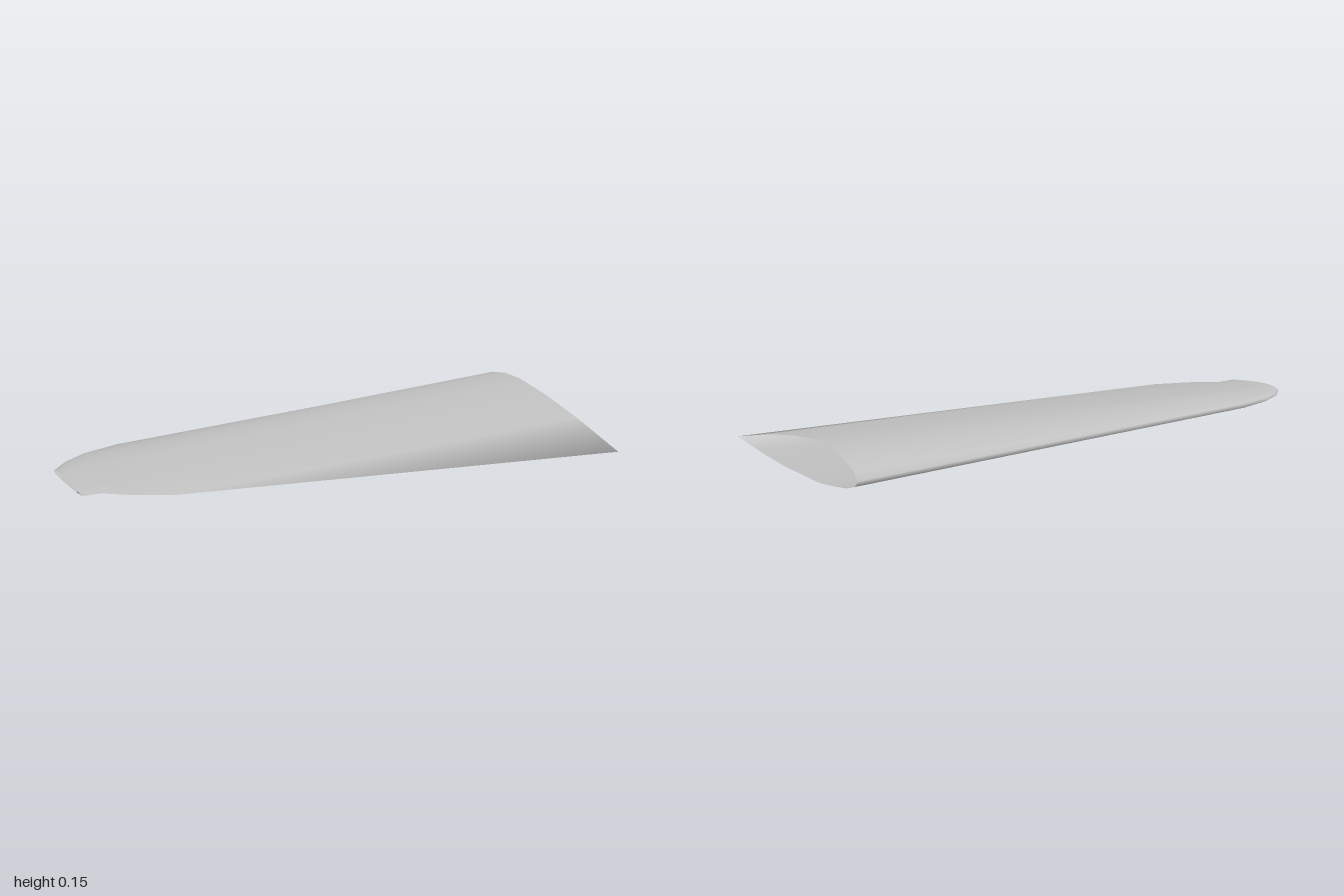
import * as THREE from 'three';

// Airfoil section as [chord fraction from the sharp edge, height fraction]
const SECTION = [
  [0, 0.18], [0.285, 0.6], [0.5, 0.85], [0.6, 0.93], [0.7, 1], [0.81, 0.98],
  [0.905, 0.85], [0.975, 0.65], [1, 0.47], [0.98, 0.32], [0.915, 0.19],
  [0.82, 0.1], [0.71, 0.01], [0.41, 0], [0.2, 0.07],
];

// Stations from root to tip: x, sharp-edge z, round-edge z, bottom y, top y
const STATIONS = [
  [1, 0.466, -0.47, 0, 0.148],
  [-0.7, 0.185, -0.376, 0.062, 0.108],
  [-0.84, 0.12, -0.34, 0.067, 0.104],
  [-0.93, 0.056, -0.29, 0.07, 0.099],
  [-1, 0.056, -0.22, 0.073, 0.097],
];

// Smooth skin lofted through the stations, open at both ends
function loft() {
  const positions = [], indices = [], n = SECTION.length;
  for (const [x, z0, z1, y0, y1] of STATIONS) {
    for (const [c, h] of SECTION) {
      positions.push(x, y0 + (y1 - y0) * h, z0 + (z1 - z0) * c);
    }
  }
  for (let i = 0; i < STATIONS.length - 1; i++) {
    for (let j = 0; j < n; j++) {
      const a = i * n + j, b = i * n + (j + 1) % n;
      indices.push(a, b, a + n, b, b + n, a + n);
    }
  }
  const geometry = new THREE.BufferGeometry();
  geometry.setAttribute('position', new THREE.Float32BufferAttribute(positions, 3));
  geometry.setIndex(indices);
  geometry.computeVertexNormals();
  return geometry;
}

export function createModel() {
  const group = new THREE.Group();
  group.name = 'wing';
  const material = new THREE.MeshStandardMaterial({ color: 0xbfbfbf, side: THREE.DoubleSide });
  material.name = 'light grey';
  const skin = new THREE.Mesh(loft(), material);
  skin.name = 'wingSkin';
  group.add(skin);
  return group;
}
